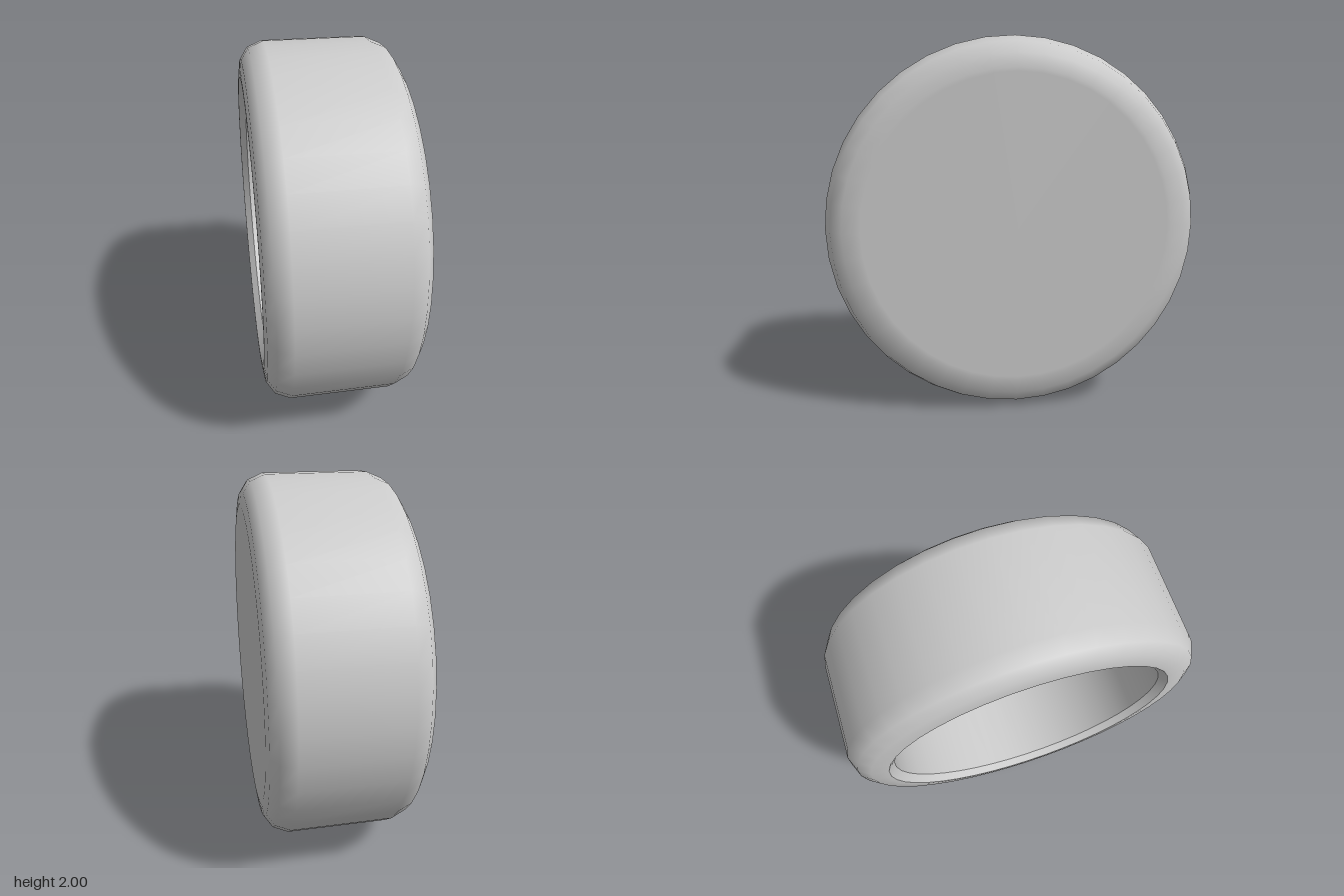
import * as THREE from 'three';

const SEGMENTS = 40;

// Spins a profile of [radius, x] points around the x axis
function spin(name, points) {
  const profile = points.map(([r, x]) => new THREE.Vector2(r, x));
  const geometry = new THREE.LatheGeometry(profile, SEGMENTS);
  geometry.rotateZ(-Math.PI / 2);
  const material = new THREE.MeshStandardMaterial({ color: 0xcccccc });
  const mesh = new THREE.Mesh(geometry, material);
  mesh.name = name;
  return mesh;
}

export function createModel() {
  const group = new THREE.Group();
  group.name = 'hollowWheel';

  // Rounded shoulder, mirrored for both ends of the tread
  const shoulder = [[1, 0.27], [0.966, 0.35], [0.905, 0.39], [0.83, 0.4], [0.81, 0.4]];
  const openSide = shoulder.map(([r, x]) => [r, -x]).reverse();

  group.add(
    spin('tread', [...openSide, ...shoulder]),
    // Closed outer face
    spin('outerFace', [[0.81, 0.4], [0, 0.4]]),
    // Recess on the open side: floor, wall and chamfered lip
    spin('recessFloor', [[0, 0.39], [0.77, 0.39]]),
    spin('recessWall', [[0.77, 0.39], [0.77, -0.36]]),
    spin('recessLip', [[0.77, -0.36], [0.81, -0.4]]),
  );

  // Stand the wheel on the ground
  group.children.forEach((part) => { part.position.y = 1; });
  return group;
}
